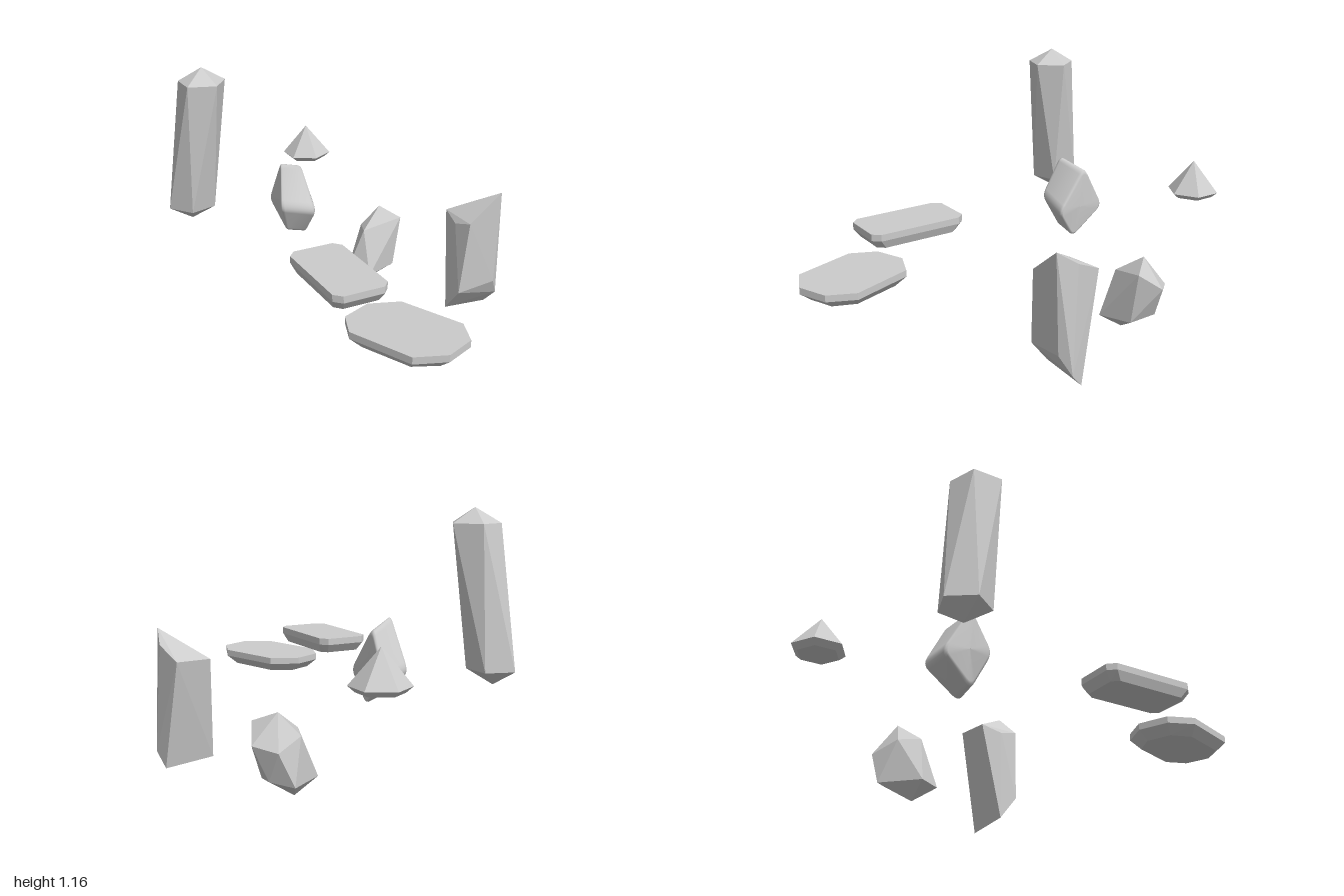
import * as THREE from 'three';
import { ConvexGeometry } from 'three/addons/geometries/ConvexGeometry.js';

const V = (x, y, z) => new THREE.Vector3(x, y, z);

// Regular horizontal ring of n points
function ring(n, x, y, z, r, start) {
  return Array.from({ length: n }, (_, i) => {
    const a = start + (i / n) * Math.PI * 2;
    return V(x + r * Math.cos(a), y, z + r * Math.sin(a));
  });
}

// Flat-faced stone from its corner points
function stone(name, points) {
  const mesh = new THREE.Mesh(
    new ConvexGeometry(points),
    new THREE.MeshStandardMaterial({ color: 0xcccccc, flatShading: true })
  );
  mesh.name = name;
  return mesh;
}

// Slab: an outline with a short vertical rim, tapering to a smaller underside
function slab(name, outline, top, tilt, inset) {
  const cx = outline.reduce((s, p) => s + p[0], 0) / outline.length;
  const cz = outline.reduce((s, p) => s + p[1], 0) / outline.length;
  const points = [];
  for (const [drop, d] of [[0, 0], [0.03, 0], [0.07, inset]]) {
    for (const [x, z] of outline) {
      const len = Math.hypot(x - cx, z - cz);
      const k = 1 - d / len;
      points.push(V(cx + (x - cx) * k, top - drop + tilt * (z - cz), cz + (z - cz) * k));
    }
  }
  return stone(name, points);
}

// Closed loop through corners, each corner rounded by a small curve
function roundedLoop(corners, k) {
  const out = [];
  corners.forEach((c, i) => {
    const prev = corners[(i + corners.length - 1) % corners.length];
    const next = corners[(i + 1) % corners.length];
    const curve = new THREE.QuadraticBezierCurve3(c.clone().lerp(prev, k), c, c.clone().lerp(next, k));
    out.push(...curve.getPoints(5));
  });
  return out;
}

// Smooth pebble: two rounded end loops joined by a skin, with softened caps
function smoothStone(name, a, b) {
  const A = roundedLoop(a, 0.17), B = roundedLoop(b, 0.17), n = A.length;
  const center = (l) => l.reduce((s, p) => s.add(p), V(0, 0, 0)).divideScalar(l.length);
  const ca = center(A), cb = center(B);
  const pos = [], idx = [];
  // position between the ends, and scale about the section centre
  const rows = [[0, 0.01], [0, 0.9], [0.03, 0.97], [0.1, 1], [0.5, 1], [0.9, 1], [0.97, 0.97], [1, 0.9], [1, 0.01]];
  for (const [t, s] of rows) {
    const c = ca.clone().lerp(cb, t);
    for (let i = 0; i < n; i++) {
      const p = A[i].clone().lerp(B[i], t).sub(c).multiplyScalar(s).add(c);
      pos.push(p.x, p.y, p.z);
    }
  }
  for (let r = 0; r < rows.length - 1; r++) {
    for (let i = 0; i < n; i++) {
      const j = (i + 1) % n, p = r * n;
      idx.push(p + i, p + n + i, p + j, p + j, p + n + i, p + n + j);
    }
  }
  const g = new THREE.BufferGeometry();
  g.setAttribute('position', new THREE.Float32BufferAttribute(pos, 3));
  g.setIndex(idx);
  g.computeVertexNormals();
  const mesh = new THREE.Mesh(g, new THREE.MeshStandardMaterial({ color: 0xcccccc, side: THREE.DoubleSide }));
  mesh.name = name;
  return mesh;
}

export function createModel() {
  const group = new THREE.Group();
  group.name = 'floatingStones';

  // Tall leaning crystal: two opposed pentagons and two tips
  group.add(stone('tallCrystal', [
    V(-0.49, 1.16, -0.53),
    ...ring(5, -0.493, 1.095, -0.525, 0.11, 0),
    ...ring(5, -0.551, 0.488, -0.598, 0.11, Math.PI),
    V(-0.552, 0.422, -0.6),
  ]));

  // Small sheared crystal
  group.add(stone('smallCrystal', [
    V(0.365, 0.37, -0.42),
    V(0.485, 0.25, -0.43), V(0.437, 0.325, -0.33), V(0.245, 0.28, -0.36),
    V(0.28, 0.27, -0.455), V(0.41, 0.23, -0.515),
    V(0.165, 0.07, -0.385), V(0.235, 0.07, -0.28), V(0.395, 0.08, -0.33),
    V(0.42, 0.1, -0.45), V(0.336, 0.08, -0.513),
    V(0.272, 0.003, -0.38),
  ]));

  // Six-sided pointed gem
  group.add(stone('pyramidGem', [
    V(0.18, 0.69, -0.88),
    ...ring(6, 0.182, 0.546, -0.88, 0.12, Math.PI / 6),
    ...ring(6, 0.182, 0.522, -0.88, 0.092, Math.PI / 6),
  ]));

  // Large shard with a slanted top and a wedge foot
  group.add(stone('largeShard', [
    V(0.615, 0.63, 0.255), V(0.455, 0.505, 0.25), V(0.435, 0.48, 0.16),
    V(0.45, 0.51, 0.06), V(0.61, 0.512, 0.04), V(0.64, 0.57, 0.165),
    V(0.42, 0.16, 0.232), V(0.61, 0.18, 0.235), V(0.655, 0.095, 0.195),
    V(0.635, 0.028, 0.135), V(0.41, 0.05, 0.143),
  ]));

  // Soft-edged stone, corners in order top, front, bottom, back
  group.add(smoothStone('smoothStone',
    [V(-0.19, 0.725, -0.365), V(-0.23, 0.52, -0.285), V(-0.175, 0.365, -0.35), V(-0.2, 0.49, -0.5)],
    [V(-0.065, 0.675, -0.42), V(-0.055, 0.475, -0.265), V(-0.075, 0.335, -0.36), V(-0.06, 0.47, -0.525)]
  ));

  // Upper slab: rectangle with clipped corners
  group.add(slab('upperSlab', [
    [-0.38, 0.18], [-0.2, 0.18], [-0.17, 0.215], [-0.17, 0.6],
    [-0.2, 0.633], [-0.38, 0.633], [-0.412, 0.6], [-0.412, 0.215],
  ], 0.526, 0, 0.032));

  // Lower slab: turned, slightly tilted octagon
  group.add(slab('lowerSlab', [
    [-0.374, 0.664], [-0.33, 0.545], [-0.2, 0.49], [-0.07, 0.54],
    [0.042, 0.82], [-0.005, 0.942], [-0.134, 0.997], [-0.263, 0.945],
  ], 0.39, 0.025, 0.05));

  return group;
}
